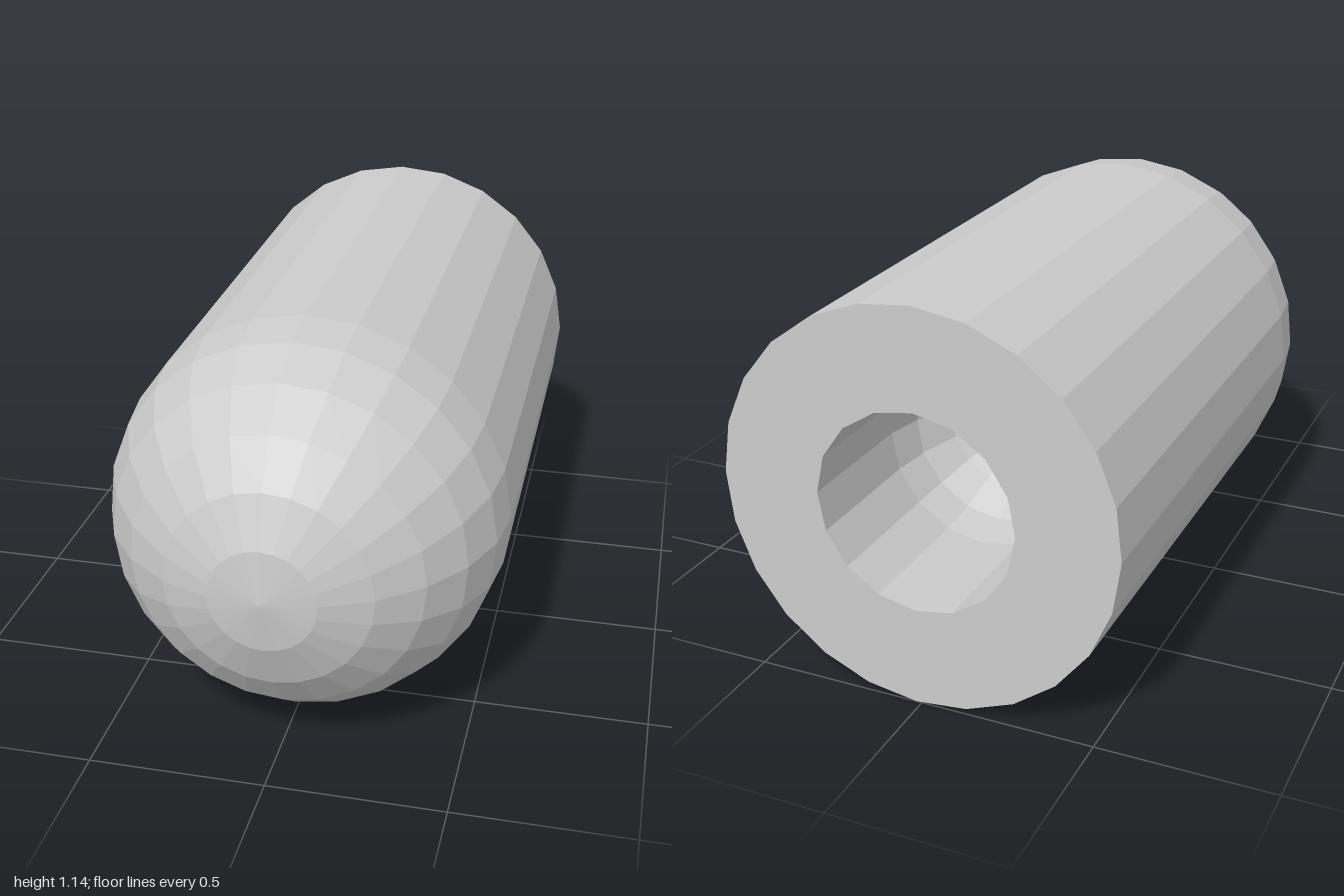
import * as THREE from 'three';

const R = 0.571, BORE = 0.286;
const BACK = -1, SHOULDER = 1 - R, BORE_SHOULDER = -0.6;
const SIDES = 24, BORE_SIDES = 16;
const TWIST = THREE.MathUtils.degToRad(1.5);

const material = new THREE.MeshStandardMaterial({ color: 0xcccccc, flatShading: true });

// Straight wall from the back, closed by a hemisphere: points are (radius, z)
function domedProfile(radius, shoulder, rings) {
  const points = [new THREE.Vector2(radius, BACK)];
  for (let i = 0; i <= rings; i++) {
    const a = (i / rings) * Math.PI / 2;
    points.push(new THREE.Vector2(i === rings ? 0 : radius * Math.cos(a), shoulder + radius * Math.sin(a)));
  }
  return points;
}

// Revolve a profile around the z axis
function revolve(name, profile, sides) {
  const geometry = new THREE.LatheGeometry(profile, sides, TWIST, Math.PI * 2);
  geometry.rotateX(Math.PI / 2);
  const mesh = new THREE.Mesh(geometry, material);
  mesh.name = name;
  return mesh;
}

// Polygon matching the revolved sides, mirrored in x because the rim is turned to face back
function ring(radius, sides) {
  return Array.from({ length: sides }, (_, i) => {
    const a = TWIST + (i / sides) * Math.PI * 2;
    return new THREE.Vector2(-radius * Math.sin(a), -radius * Math.cos(a));
  });
}

export function createModel() {
  const group = new THREE.Group();
  group.name = 'domedSleeve';

  // Outer shell with rounded nose
  group.add(revolve('outerShell', domedProfile(R, SHOULDER, 6), SIDES));

  // Blind bore with rounded end; reversed profile faces inward
  group.add(revolve('bore', domedProfile(BORE, BORE_SHOULDER, 4).reverse(), BORE_SIDES));

  // Flat annular rim at the back
  const shape = new THREE.Shape(ring(R, SIDES));
  shape.holes.push(new THREE.Path(ring(BORE, BORE_SIDES)));
  const rim = new THREE.Mesh(new THREE.ShapeGeometry(shape).rotateY(Math.PI).translate(0, 0, BACK), material);
  rim.name = 'backRim';
  group.add(rim);

  group.children.forEach((part) => { part.position.y = R; });
  return group;
}
